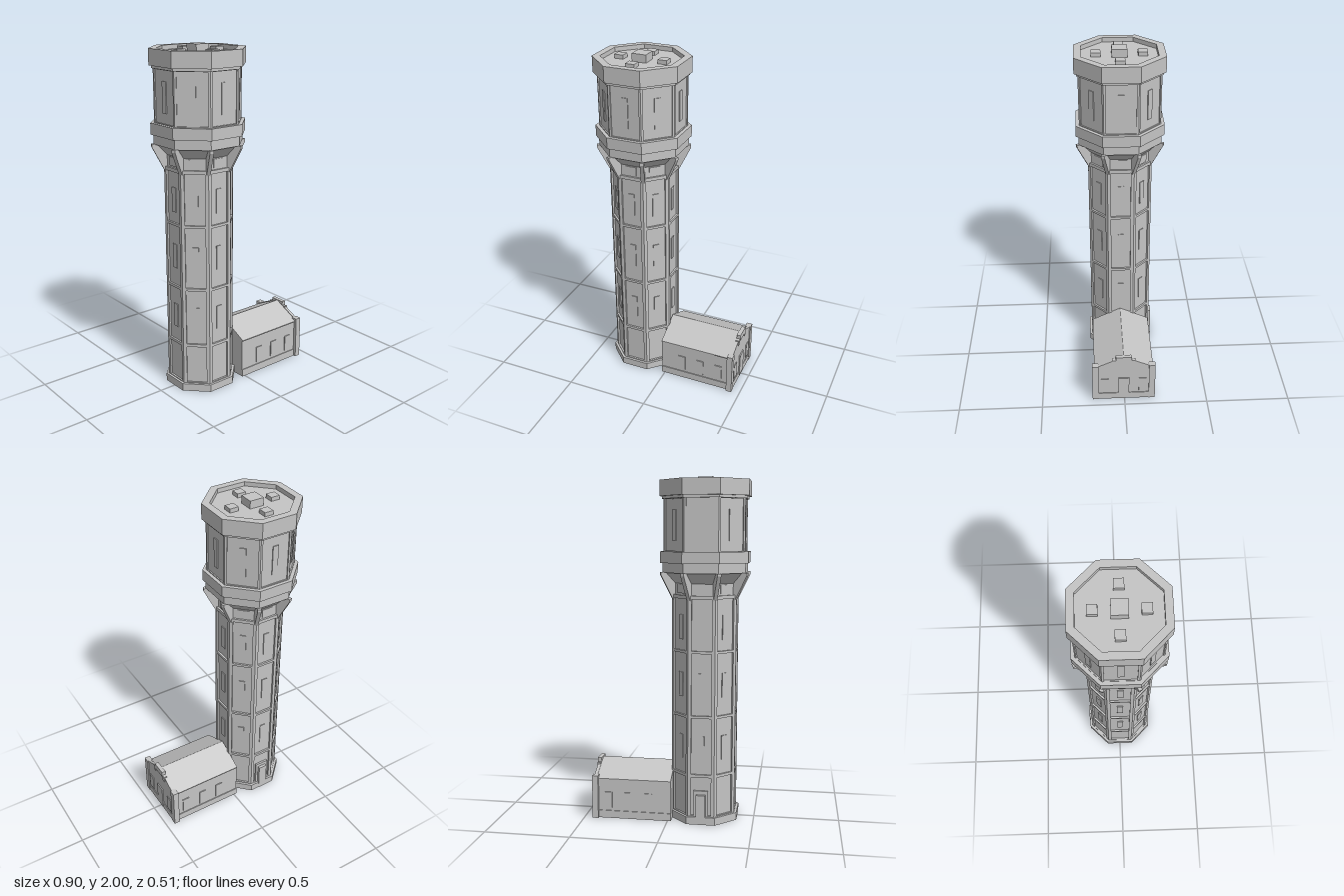
import * as THREE from 'three';

const stone = new THREE.MeshStandardMaterial({ color: 0xc4c4c4 });
stone.name = 'grey stone';
const T = Math.tan(Math.PI / 8), C = Math.cos(Math.PI / 8);

function add(parent, name, geo, x = 0, y = 0, z = 0) {
  const m = new THREE.Mesh(geo, stone);
  m.name = name;
  m.position.set(x, y, z);
  parent.add(m);
  return m;
}
const box = (p, name, w, h, d, x, y, z) => add(p, name, new THREE.BoxGeometry(w, h, d), x, y, z);

// Octagonal prism between two heights, sized by the distance to its flat faces
function octagon(p, name, y0, y1, a0, a1 = a0) {
  const indexed = new THREE.CylinderGeometry(a1 / C, a0 / C, y1 - y0, 8);
  indexed.rotateY(Math.PI / 8);
  const g = indexed.toNonIndexed();
  g.computeVertexNormals();
  return add(p, name, g, 0, (y0 + y1) / 2, 0);
}

function polygon(points) {
  return new THREE.Shape(points.map(([x, y]) => new THREE.Vector2(x, y)));
}
const extrude = (shape, depth) => new THREE.ExtrudeGeometry(shape, { depth, bevelEnabled: false });
const rect = (hw, y0, y1) => polygon([[-hw, y0], [hw, y0], [hw, y1], [-hw, y1]]);

// One wall frame of pilasters and bands, with openings over the recessed panels
function frame(a, y0, y1, openHalf, panels, depth) {
  const s = rect(a * T, y0, y1);
  panels.forEach(([b, t]) => s.holes.push(rect(openHalf, b, t)));
  const g = extrude(s, depth);
  g.translate(0, 0, a - depth);
  return g;
}

function octagonRing(a, hole, h) {
  const ring = r => Array.from({ length: 8 }, (_, i) => {
    const t = (i + 0.5) * Math.PI / 4;
    return [Math.cos(t) * r / C, Math.sin(t) * r / C];
  });
  const s = polygon(ring(a));
  s.holes.push(polygon(ring(hole)));
  return extrude(s, h).rotateX(-Math.PI / 2);
}

function makeTower() {
  const tower = new THREE.Group();
  tower.name = 'tower';
  octagon(tower, 'base', 0, 0.045, 0.2);
  octagon(tower, 'shaft', 0.04, 1.42, 0.175);
  octagon(tower, 'flare', 1.4, 1.46, 0.175, 0.225);
  octagon(tower, 'lowerRing', 1.46, 1.515, 0.237);
  octagon(tower, 'tankSill', 1.515, 1.58, 0.252);
  octagon(tower, 'tank', 1.57, 1.9, 0.225);
  octagon(tower, 'tankCornice', 1.875, 1.895, 0.24);
  octagon(tower, 'roof', 1.89, 1.955, 0.23);
  add(tower, 'parapet', octagonRing(0.253, 0.212, 0.09), 0, 1.89, 0);

  // Roof hatches
  box(tower, 'roofCap', 0.085, 0.05, 0.085, 0, 1.975, 0);
  for (const [x, z] of [[1, 0], [-1, 0], [0, 1], [0, -1]])
    box(tower, 'roofHatch', 0.053, 0.03, 0.053, x * 0.13, 1.963, z * 0.13);

  const shaftFrame = frame(0.186, 0.04, 1.335, 0.058,
    [[0.05, 0.28], [0.297, 0.63], [0.645, 1.005], [1.02, 1.315]], 0.014);
  const tankFrame = frame(0.232, 1.575, 1.885, 0.084, [[1.585, 1.872]], 0.01);
  const fin = extrude(polygon([[0.16, 1.3], [0.197, 1.305], [0.27, 1.447], [0.27, 1.462], [0.16, 1.462]]), 0.022);
  fin.translate(0, 0, -0.011);

  for (let i = 0; i < 8; i++) {
    const side = new THREE.Group();
    side.name = 'towerSide';
    side.rotation.y = i * Math.PI / 4;
    tower.add(side);
    add(side, 'shaftFrame', shaftFrame);
    add(side, 'tankFrame', tankFrame);
    add(side, 'bracket', fin).rotation.y = Math.PI / 8;
    for (const y of [0.453, 0.82, 1.153])
      box(side, 'slitWindow', 0.035, 0.142, 0.01, 0, y, 0.175);
    box(side, 'smallWindow', 0.068, 0.05, 0.01, 0, 1.37, 0.175);
    box(side, 'tankWindow', 0.035, 0.172, 0.01, 0, 1.727, 0.225);
    // Rear entrance
    if (i === 4) {
      box(side, 'doorSurround', 0.085, 0.2, 0.026, 0, 0.1, 0.174);
      box(side, 'door', 0.055, 0.175, 0.034, 0, 0.09, 0.187);
    }
  }
  tower.position.x = -0.2;
  return tower;
}

function makeAnnex() {
  const annex = new THREE.Group();
  annex.name = 'annex';
  // Profiles lie across the annex and run along x
  const along = (name, points, x0, x1) =>
    add(annex, name, extrude(polygon(points), x1 - x0).rotateY(Math.PI / 2), x0, 0, 0);
  const mirrored = half => [...half, ...half.slice().reverse().map(([x, y]) => [-x, y])];

  along('hall', mirrored([[0.17, 0], [0.17, 0.24], [0.0005, 0.322]]).reverse(), -0.02, 0.43);
  along('roofSlab', mirrored([[0.177, 0.236], [0.177, 0.242], [0.0005, 0.327]]).reverse(), -0.02, 0.43);
  box(annex, 'plinth', 0.46, 0.045, 0.35, 0.21, 0.0225, 0);
  along('gableWall', mirrored([[0.18, 0], [0.18, 0.255], [0.145, 0.262], [0.07, 0.297],
    [0.045, 0.297], [0.045, 0.33]]).reverse(), 0.425, 0.443);
  box(annex, 'gablePlinth', 0.02, 0.045, 0.35, 0.437, 0.0225, 0);
  box(annex, 'gableBlock', 0.023, 0.04, 0.095, 0.4375, 0.31, 0);

  for (const s of [1, -1]) {
    box(annex, 'cornerPier', 0.035, 0.26, 0.038, 0.4325, 0.13, s * 0.171);
    box(annex, 'gableStep', 0.02, 0.04, 0.024, 0.437, 0.285, s * 0.057);
    box(annex, 'endWindow', 0.01, 0.1, 0.047, 0.443, 0.11, s * 0.115);
    for (const x of [0.115, 0.235, 0.355])
      box(annex, 'sideWindow', 0.045, 0.1, 0.01, x, 0.11, s * 0.171);
  }
  box(annex, 'endDoor', 0.012, 0.15, 0.066, 0.444, 0.09, 0);
  annex.position.z = 0.005;
  return annex;
}

export function createModel() {
  const model = new THREE.Group();
  model.name = 'waterTower';
  model.add(makeTower(), makeAnnex());
  return model;
}
